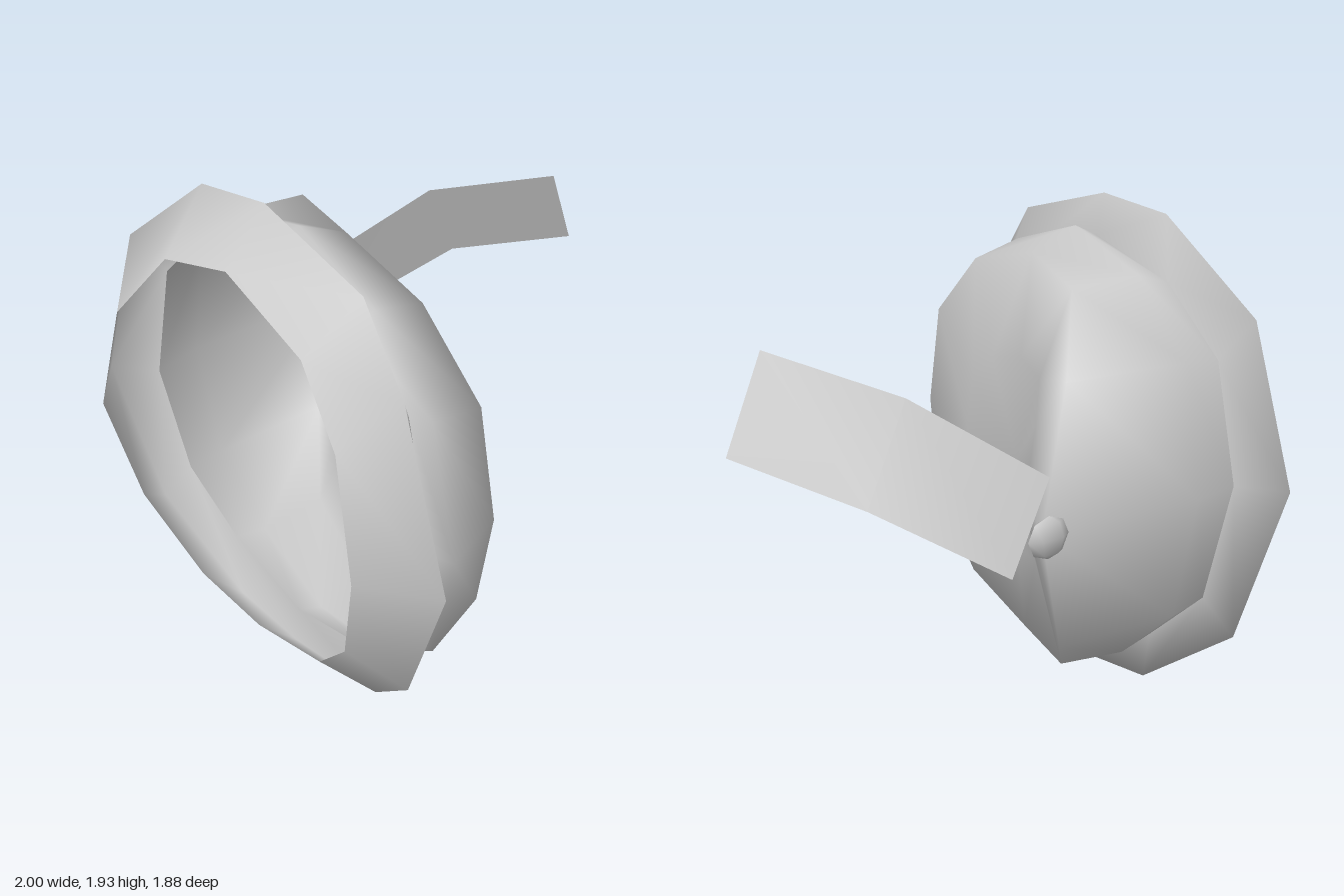
import * as THREE from 'three';

const MID = 0.965; // height of the mirror plane

const grey = new THREE.MeshStandardMaterial({ color: 0xcccccc, side: THREE.DoubleSide });
grey.name = 'plain grey';

// Half cross-section (front, over the top, to the back) mirrored into a closed loop
function ring(half) {
  const low = half.slice(1, -1).reverse().map(([x, y, z]) => [x, 2 * MID - y, z]);
  return [...half, ...low];
}

// Skin a list of closed loops with smooth normals; a centre point closes the end
function loft(name, rings, centre) {
  const n = rings[0].length;
  const pos = rings.flat(2);
  const index = [];
  for (let r = 0; r < rings.length - 1; r++) {
    for (let i = 0; i < n; i++) {
      const a = r * n + i, b = r * n + (i + 1) % n;
      index.push(a, a + n, b, b, a + n, b + n);
    }
  }
  if (centre) {
    const last = (rings.length - 1) * n;
    pos.push(...centre);
    for (let i = 0; i < n; i++) index.push(last + i, last + n, last + (i + 1) % n);
  }
  return surface(name, pos, index);
}

function surface(name, pos, index) {
  const g = new THREE.BufferGeometry();
  g.setAttribute('position', new THREE.Float32BufferAttribute(pos, 3));
  g.setIndex(index);
  g.computeVertexNormals();
  const m = new THREE.Mesh(g, grey);
  m.name = name;
  return m;
}

export function createModel() {
  const model = new THREE.Group();
  model.name = 'cap';

  // Loops from the open mouth to the closed end
  const mouth = ring([[-0.87, MID, 0.70], [-0.82, 1.38, 0.57], [-0.79, 1.61, 0.36], [-0.79, 1.74, -0.06],
    [-0.84, 1.67, -0.38], [-0.93, 1.38, -0.63], [-1, MID, -0.72]]);
  const flare = ring([[-0.68, MID, 0.94], [-0.65, 1.57, 0.70], [-0.61, 1.81, 0.45], [-0.62, 1.93, -0.07],
    [-0.66, 1.89, -0.40], [-0.76, 1.57, -0.80], [-0.85, MID, -0.94]]);
  const neck = ring([[-0.58, MID, 0.74], [-0.58, 1.45, 0.63], [-0.59, 1.66, 0.37], [-0.60, 1.77, -0.06],
    [-0.62, 1.66, -0.48], [-0.67, 1.42, -0.72], [-0.72, MID, -0.79]]);
  const belly = ring([[-0.55, MID, 0.82], [-0.54, 1.45, 0.70], [-0.52, 1.70, 0.38], [-0.50, 1.815, -0.06],
    [-0.48, 1.70, -0.49], [-0.50, 1.44, -0.76], [-0.52, MID, -0.84]]);
  const shoulder = ring([[-0.30, MID, 0.73], [-0.30, 1.38, 0.65], [-0.31, 1.64, 0.36], [-0.31, 1.73, -0.06],
    [-0.20, 1.68, -0.49], [0, 1.44, -0.77], [0.14, MID, -0.86]]);

  // Gently bulged end face
  const centre = [-0.2, MID, -0.15];
  const crown = shoulder.map((p) => p.map((v, k) => (v + centre[k]) / 2 + (k === 0 ? 0.015 : 0)));

  model.add(loft('rim', [mouth, flare, neck]));
  model.add(loft('body', [neck, belly, shoulder, crown], centre));

  // Small faceted knob at the tip
  const knob = new THREE.Mesh(new THREE.SphereGeometry(1, 6, 4), grey);
  knob.name = 'knob';
  knob.scale.set(0.085, 0.075, 0.03);
  knob.rotation.y = 0.12;
  knob.position.set(0.135, MID + 0.005, -0.89);
  model.add(knob);

  // Bent ribbon hanging from the tip
  const upper = [[0.11, 1.16, -0.85], [0.52, 1.43, -0.64], [0.85, 1.54, -0.25]];
  const lower = [[0.27, 0.85, -0.89], [0.68, 1.09, -0.68], [1, 1.205, -0.29]];
  model.add(surface('ribbon', [...upper, ...lower].flat(), [0, 3, 1, 1, 3, 4, 1, 4, 2, 2, 4, 5]));

  return model;
}
